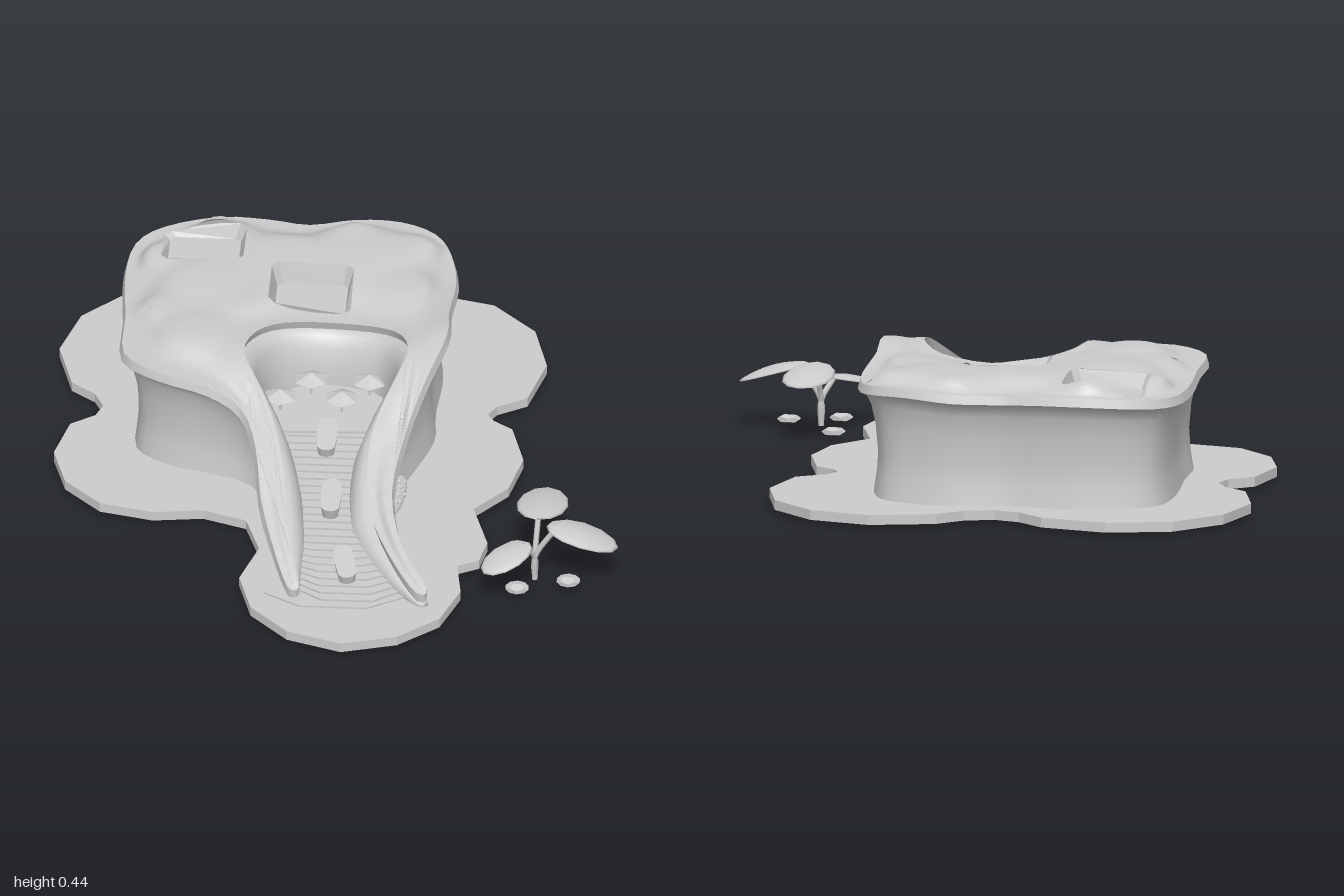
import * as THREE from 'three';
import { mergeVertices } from 'three/addons/utils/BufferGeometryUtils.js';

const smooth = new THREE.MeshStandardMaterial({ color: 0xcccccc, side: THREE.DoubleSide });
const flat = new THREE.MeshStandardMaterial({ color: 0xcccccc, flatShading: true, side: THREE.DoubleSide });

// Ground slab outline: x, z
const SLAB = [[-.51, -1], [-.3, -.95], [-.22, -.88], [-.14, -.855], [-.05, -.88], [.03, -.95], [.23, -1], [.42, -.95],
  [.555, -.81], [.603, -.62], [.555, -.43], [.465, -.375], [.44, -.33], [.46, -.295], [.52, -.25], [.565, -.08],
  [.53, .085], [.43, .21], [.485, .4], [.465, .5], [.4, .535], [.42, .68], [.365, .84], [.24, .95], [.07, 1],
  [-.1, .94], [-.22, .81], [-.265, .645], [-.215, .475], [-.265, .32], [-.4, .27], [-.555, .29], [-.72, .25],
  [-.835, .13], [-.88, -.03], [-.84, -.195], [-.765, -.25], [-.745, -.305], [-.775, -.37], [-.85, -.43],
  [-.9, -.62], [-.845, -.81], [-.71, -.95]];

// Roof rim, outside from the left arm tip to the right arm tip: x, z, y
const OUTER = [[-.11, .745, .08], [-.16, .62, .135], [-.21, .45, .205], [-.238, .28, .285], [-.29, .15, .34],
  [-.4, .1, .385], [-.55, .05, .4], [-.665, -.06, .395], [-.675, -.28, .39], [-.69, -.52, .385], [-.67, -.7, .385],
  [-.585, -.795, .39], [-.42, -.845, .4], [-.27, -.84, .4], [-.14, -.825, .395], [0, -.855, .4], [.14, -.835, .41],
  [.25, -.78, .405], [.305, -.68, .395], [.33, -.52, .395], [.32, -.32, .42], [.325, -.16, .44], [.27, .03, .39],
  [.22, .18, .3], [.19, .4, .215], [.235, .6, .15], [.32, .745, .095]];
// Roof rim, around the courtyard back to the left arm tip
const INNER = [[.29, .765, .085], [.215, .66, .12], [.14, .5, .165], [.112, .36, .215], [.112, .2, .285], [.15, .07, .35],
  [.2, -.04, .415], [.2, -.14, .425], [.13, -.235, .405], [-.03, -.28, .39], [-.18, -.25, .405], [-.265, -.17, .42],
  [-.295, -.05, .425], [-.25, .05, .39], [-.195, .16, .33], [-.15, .33, .26], [-.13, .5, .19], [-.1, .65, .125],
  [-.075, .745, .08]];
// Soft crowns inside the roof
const CROWNS = [[-.45, -.45, .44], [-.58, -.3, .43], [-.6, -.6, .43], [.1, -.65, .44], [0, -.76, .44], [-.42, -.79, .445],
  [-.2, -.62, .44], [.2, -.45, .435], [-.45, -.15, .44], [.24, -.7, .44], [-.3, -.35, .435]];
const SEG = 3;

function add(parent, name, geometry, material = smooth) {
  const mesh = new THREE.Mesh(geometry, material);
  mesh.name = name;
  parent.add(mesh);
  return mesh;
}

const planShape = (pts) => new THREE.Shape(pts.map(([x, z]) => new THREE.Vector2(x, -z)));
const level = (pts, y) => pts.map(([x, z]) => new THREE.Vector3(x, y, z));

function sheet(pts, y) {
  return new THREE.ShapeGeometry(planShape(pts)).rotateX(-Math.PI / 2).translate(0, y, 0);
}

function plate(pts, bottom, top) {
  return new THREE.ExtrudeGeometry(planShape(pts), { depth: top - bottom, bevelEnabled: false })
    .rotateX(-Math.PI / 2).translate(0, bottom, 0);
}

// Skin between closed rings of points, first ring on top
function loft(rings) {
  const n = rings[0].length, index = [];
  for (let r = 0; r < rings.length - 1; r++) {
    for (let i = 0; i < n; i++) {
      const a = r * n + i, b = r * n + (i + 1) % n;
      index.push(a, b, a + n, b, b + n, a + n);
    }
  }
  const g = new THREE.BufferGeometry().setFromPoints(rings.flat());
  g.setIndex(index);
  g.computeVertexNormals();
  return g;
}

// Rim samples with plan normals and the distance the wall foot moves along them
function sampleRim() {
  const ctrl = [...OUTER, ...INNER];
  const curve = new THREE.CatmullRomCurve3(ctrl.map(([x, z, y]) => new THREE.Vector3(x, y, z)), true, 'catmullrom', 0.5);
  const count = ctrl.length * SEG;
  const pts = Array.from({ length: count }, (_, i) => curve.getPoint(i / count));
  return pts.map((p, i) => {
    const t = pts[(i + 1) % count].clone().sub(pts[(i + count - 1) % count]).setY(0).normalize();
    const outside = i <= (OUTER.length - 1) * SEG;
    const size = Math.min(1, Math.max(0.1, (p.y - 0.08) / 0.1));
    return { p, n: new THREE.Vector3(t.z, 0, -t.x), off: (outside ? -0.04 : 0.045) * size, outside };
  });
}

// Roof height: blend of the rim edges and crowns, weighted by nearness in plan
function makeHeight(rim) {
  const edges = rim.map(({ p }, i) => {
    const q = rim[(i + 1) % rim.length].p, dx = q.x - p.x, dz = q.z - p.z;
    return { p, dx, dz, dy: q.y - p.y, len: Math.hypot(dx, dz) };
  });
  return (x, z) => {
    let sum = 0, total = 0;
    const blend = (d2, y, k) => {
      const w = k / (d2 * d2 + 1e-14);
      sum += w * y;
      total += w;
    };
    for (const { p, dx, dz, dy, len } of edges) {
      const t = THREE.MathUtils.clamp(((x - p.x) * dx + (z - p.z) * dz) / (len * len), 0, 1);
      blend((x - p.x - dx * t) ** 2 + (z - p.z - dz * t) ** 2, p.y + dy * t, len * 30);
    }
    for (const [cx, cz, cy] of CROWNS) blend((x - cx) ** 2 + (z - cz) ** 2 + 0.002, cy, 12);
    return sum / total;
  };
}

// Roof sheet: cut in plan, split finely, then lifted to the height rule
function roofSheet(rim, holes, height) {
  const shape = planShape(rim.map(({ p }) => [p.x, p.z]));
  shape.holes = holes.map(planShape);
  const flatGeo = new THREE.ShapeGeometry(shape, 1).toNonIndexed();
  const pos = flatGeo.attributes.position;
  let tris = [];
  for (let i = 0; i < pos.count; i += 3) {
    tris.push([0, 1, 2].map((k) => new THREE.Vector3().fromBufferAttribute(pos, i + k)));
  }
  for (let pass = 0; pass < 4; pass++) {
    tris = tris.flatMap(([a, b, c]) => {
      const ab = a.clone().lerp(b, 0.5), bc = b.clone().lerp(c, 0.5), ca = c.clone().lerp(a, 0.5);
      return [[a, ab, ca], [ab, b, bc], [ca, bc, c], [ab, bc, ca]];
    });
  }
  const g = mergeVertices(new THREE.BufferGeometry().setFromPoints(tris.flat()), 1e-5);
  const v = g.attributes.position;
  for (let i = 0; i < v.count; i++) {
    const x = v.getX(i), z = -v.getY(i);
    v.setXYZ(i, x, height(x, z), z);
  }
  g.computeVertexNormals();
  return g;
}

// Rectangle with cut corners
function pitOutline(cx, cz, w, d, c = 0.02) {
  return [[w, d - c], [w, c - d], [w - c, -d], [c - w, -d], [-w, c - d], [-w, d - c], [c - w, d], [w - c, d]]
    .map(([x, z]) => [cx + x, cz + z]);
}

// Drooping leaf from its base towards its tip
function leaf(from, to, width) {
  const dx = to[0] - from[0], dz = to[2] - from[2], len = Math.hypot(dx, dz);
  const g = new THREE.SphereGeometry(1, 12, 8).scale(len / 2, 0.008, width).translate(len / 2, 0, 0);
  const v = g.attributes.position;
  for (let i = 0; i < v.count; i++) {
    const u = v.getX(i) / len;
    v.setY(i, v.getY(i) + (to[1] - from[1]) * u * u - 2 * v.getZ(i) ** 2);
  }
  g.rotateY(Math.atan2(-dz, dx)).translate(...from);
  g.computeVertexNormals();
  return g;
}

export function createModel() {
  const model = new THREE.Group();
  model.name = 'pavilion';
  const rim = sampleRim();
  const height = makeHeight(rim);
  const ring = (f, yOf) => rim.map(({ p, n, off }) => p.clone().addScaledVector(n, off * f).setY(yOf(p.y)));

  // Ground: thin sheet with a skirt, and the foundation skirt below the walls
  add(model, 'groundSlab', sheet(SLAB, 0.043), flat);
  add(model, 'slabSkirt', loft([level(SLAB, 0.043), level(SLAB, 0.012)]), flat);
  const foot = ring(1, () => 0).filter((_, i) => rim[i].outside).map((p) => [p.x, p.z]);
  foot.push([0.19, 0.8], [0, 0.8]);
  add(model, 'foundation', loft([level(foot, 0.043), level(foot, 0)]), flat);

  // Shell: roof, flared lip and curved walls
  const pits = [pitOutline(-0.457, -0.662, 0.127, 0.107), pitOutline(-0.112, -0.437, 0.127, 0.107)];
  add(model, 'roof', roofSheet(rim, pits, height));
  add(model, 'roofLip', loft([ring(0, (y) => y), ring(-0.2, (y) => y - 0.028)]));
  const profile = [[0, -0.2], [0.03, 0.35], [0.14, 0.8], [0.33, 1.15], [0.6, 1.35], [0.8, 1.25], [1, 1]];
  add(model, 'walls', loft(profile.map(([v, f]) => ring(f, (y) => THREE.MathUtils.lerp(y - 0.028, 0.04, v)))));

  // Sunken skylights
  for (const pit of pits) {
    const cx = pit.reduce((s, p) => s + p[0], 0) / 8, cz = pit.reduce((s, p) => s + p[1], 0) / 8;
    const top = pit.map(([x, z]) => new THREE.Vector3(x, height(x, z), z));
    const centre = new THREE.Vector3(cx, height(cx, cz) - 0.05, cz);
    const low = top.map((p) => p.clone().lerp(centre, 0.14).setY(centre.y));
    add(model, 'skylight', loft([top, low, low.map(() => centre)]), flat);
  }

  // Courtyard terrace and stairs
  const yard = rim.filter(({ p, outside }) => !outside && p.z < 0.06).map(({ p }) => [p.x, p.z]);
  add(model, 'terrace', plate(yard, 0.17, 0.2), flat);
  const zs = [0, 0.15, 0.3, 0.5, 0.65, 0.8];
  const edge = (xs, z) => {
    const k = Math.max(0, Math.min(4, zs.findIndex((v) => v > z) - 1));
    return THREE.MathUtils.lerp(xs[k], xs[k + 1], Math.min(1, (z - zs[k]) / (zs[k + 1] - zs[k])));
  };
  const stairs = new THREE.Group();
  stairs.name = 'stairs';
  model.add(stairs);
  for (let i = 0; i < 26; i++) {
    const z = 0.8 - i * 0.031, y = 0.049 + i * 0.006, d = Math.max(0, 0.07 * (1 - i / 10));
    const l = edge([-0.23, -0.185, -0.145, -0.12, -0.1, -0.09], z);
    const r = z > 0.79 ? 0.25 : edge([0.17, 0.12, 0.11, 0.135, 0.2, 0.25], z);
    const q = (r - l) * 0.26;
    const outline = [[l, z - d], [l + q, z], [r - q, z], [r, z - d], [r, z - 0.12], [l, z - 0.12]];
    add(stairs, 'step', plate(outline, Math.max(0.043, y - 0.03), y), flat);
  }

  // Long planters lying along the stairs
  for (const [x, y, z, turn] of [[-0.03, 0.195, 0.08, 0], [0, 0.146, 0.35, 0], [0.06, 0.085, 0.63, 0.2]]) {
    const g = new THREE.CylinderGeometry(0.032, 0.026, 0.05, 12);
    const v = g.attributes.position;
    for (let i = 0; i < v.count; i++) v.setZ(i, v.getZ(i) + Math.sign(Math.round(v.getZ(i) * 1e4)) * 0.042);
    const planter = add(model, 'planter', g, flat);
    planter.position.set(x, y, z);
    planter.rotation.set(0.19, turn, 0);
  }

  // Terrace parasols
  for (const [x, z] of [[-0.095, -0.175], [0.085, -0.175], [-0.185, -0.075], [0.005, -0.075]]) {
    const parasol = new THREE.Group();
    parasol.name = 'parasol';
    parasol.position.set(x, 0.2, z);
    add(parasol, 'canopy', new THREE.ConeGeometry(0.054, 0.025, 6).translate(0, 0.062, 0), flat);
    add(parasol, 'pole', new THREE.CylinderGeometry(0.004, 0.004, 0.055, 6).translate(0, 0.027, 0), flat);
    model.add(parasol);
  }

  // Planted oval leaning on the right wall
  const bed = new THREE.Group();
  bed.name = 'wallGarden';
  bed.position.set(0.19, 0.083, 0.21);
  bed.rotation.set(0, -0.15, -0.6);
  add(bed, 'gardenBed', new THREE.SphereGeometry(1, 16, 8).scale(0.03, 0.008, 0.12));
  for (let i = 0; i < 14; i++) {
    const a = i * 2.4, r = Math.sqrt((i + 0.5) / 14) * 0.85;
    add(bed, 'shrub', new THREE.IcosahedronGeometry(0.008, 0), flat)
      .position.set(0.028 * r * Math.cos(a), 0.007, 0.115 * r * Math.sin(a));
  }
  model.add(bed);

  // Tree with three broad leaves, and stones around it
  const tree = new THREE.Group();
  tree.name = 'tree';
  model.add(tree);
  const leaves = [[[0.645, 0.215, 0.525], [0.665, 0.178, 0.28], 0.08], [[0.675, 0.205, 0.545], [0.898, 0.142, 0.555], 0.073],
    [[0.625, 0.16, 0.57], [0.492, 0.12, 0.695], 0.06]];
  for (const [from, to, width] of leaves) {
    add(tree, 'leaf', leaf(from, to, width));
    const tip = new THREE.Vector3(...from).lerp(new THREE.Vector3(...to), 0.15).setY(from[1]);
    const stem = new THREE.CatmullRomCurve3([new THREE.Vector3(0.64, 0.012, 0.545), new THREE.Vector3(0.64, 0.09, 0.545), tip]);
    add(tree, 'stem', new THREE.TubeGeometry(stem, 10, 0.009, 6));
  }
  for (const [x, z] of [[0.575, 0.39], [0.745, 0.57], [0.59, 0.62]]) {
    add(model, 'stone', new THREE.DodecahedronGeometry(1, 0).scale(0.038, 0.014, 0.034), flat).position.set(x, 0.026, z);
  }
  return model;
}
